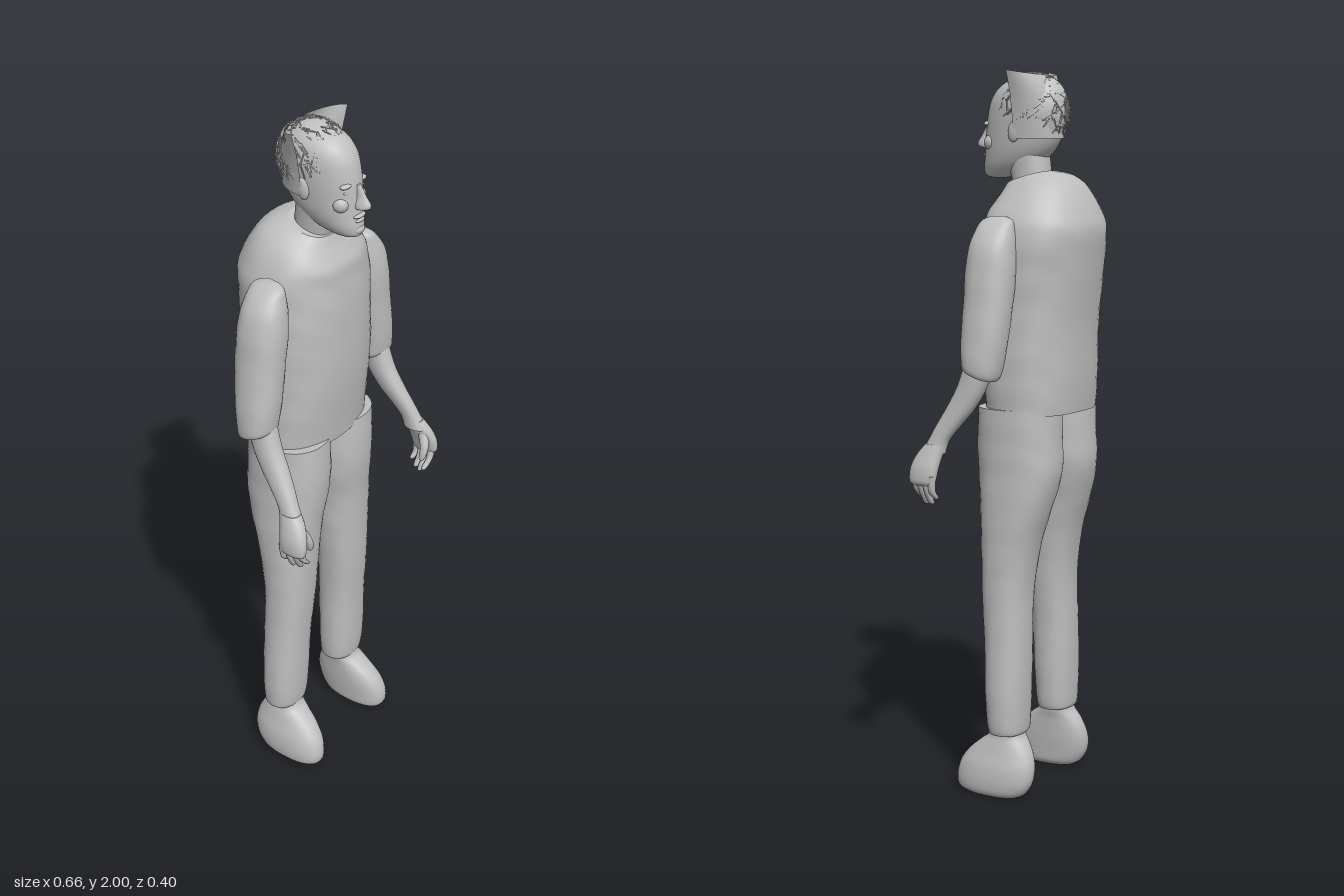
import * as THREE from 'three';
import { mergeGeometries } from 'three/addons/utils/BufferGeometryUtils.js';

const grey = new THREE.MeshStandardMaterial({ color: 0xbfbfbf });
grey.name = 'plain grey';
const greySheet = new THREE.MeshStandardMaterial({ color: 0xbfbfbf, side: THREE.DoubleSide });
greySheet.name = 'plain grey sheet';

let seed = 7;
const rand = () => (seed = (seed * 16807) % 2147483647) / 2147483647;

// Smooth skin through horizontal rings [y, centreX, centreZ, radiusX, radiusZ], bottom to top
function loft(rings, { sides = 28, steps = 5, power = 2.3, tilt = () => 0, wrinkle = 0 } = {}) {
  const cr = (a, b, c, d, t) =>
    0.5 * (2 * b + (c - a) * t + (2 * a - 5 * b + 4 * c - d) * t * t + (3 * b - a - 3 * c + d) * t * t * t);
  const n = rings.length, all = [];
  for (let i = 0; i < n - 1; i++) {
    const q = [rings[Math.max(i - 1, 0)], rings[i], rings[i + 1], rings[Math.min(i + 2, n - 1)]];
    for (let k = 0; k < steps; k++) all.push(q[1].map((_, j) => cr(q[0][j], q[1][j], q[2][j], q[3][j], k / steps)));
  }
  all.push(rings[n - 1]);
  const pos = [], idx = [];
  const pw = v => Math.sign(v) * Math.abs(v) ** (2 / power);
  const addRing = ([y, cx, cz, rx, rz]) => {
    for (let j = 0; j < sides; j++) {
      const a = j / sides * Math.PI * 2;
      const w = 1 + wrinkle * Math.sin(y * 46 + 3 * Math.sin(a * 2)) * Math.sin(a * 5 + y * 21);
      const z = cz + rz * w * pw(Math.cos(a));
      pos.push(cx + rx * w * pw(Math.sin(a)), y + tilt(y, z), z);
    }
  };
  all.forEach(addRing);
  for (let i = 0; i < all.length - 1; i++) for (let j = 0; j < sides; j++) {
    const a = i * sides + j, b = i * sides + (j + 1) % sides;
    idx.push(a, b, b + sides, a, b + sides, a + sides);
  }
  // End caps on their own vertices, so the rims stay sharp
  for (const [ring, up] of [[all[0], false], [all[all.length - 1], true]]) {
    const s = pos.length / 3;
    addRing(ring);
    pos.push(ring[1], ring[0] + tilt(ring[0], ring[2]), ring[2]);
    for (let j = 0; j < sides; j++) {
      const a = s + j, b = s + (j + 1) % sides;
      if (up) idx.push(a, b, s + sides); else idx.push(b, a, s + sides);
    }
  }
  const g = new THREE.BufferGeometry();
  g.setAttribute('position', new THREE.Float32BufferAttribute(pos, 3));
  g.setIndex(idx);
  g.computeVertexNormals();
  return g;
}

export function createModel() {
  const model = new THREE.Group();
  model.name = 'standingMan';
  const add = (name, geo, parent = model, mat = grey) => {
    const m = new THREE.Mesh(geo, mat);
    m.name = name;
    parent.add(m);
    return m;
  };
  const ball = (name, x, y, z, rx, ry, rz, parent) => {
    const m = add(name, new THREE.SphereGeometry(1, 16, 12), parent);
    m.position.set(x, y, z);
    m.scale.set(rx, ry, rz);
    return m;
  };

  // Shirt body, its neckline dipping to the front
  add('shirt', loft([
    [1.085, 0.01, -0.037, 0.186, 0.125], [1.2, 0.01, -0.035, 0.188, 0.135], [1.35, 0.01, -0.033, 0.186, 0.143],
    [1.48, 0.01, -0.042, 0.186, 0.15], [1.57, 0.01, -0.049, 0.183, 0.151], [1.62, 0.006, -0.043, 0.168, 0.142],
    [1.665, 0.002, -0.032, 0.136, 0.115], [1.695, 0, -0.018, 0.104, 0.087], [1.715, 0, -0.002, 0.076, 0.062],
  ], { sides: 48, power: 2.4, wrinkle: 0.012, tilt: (y, z) => -0.3 * z * THREE.MathUtils.smoothstep(y, 1.6, 1.71) }));

  // Neck
  add('neck', loft([[1.6, -0.004, -0.005, 0.054, 0.054], [1.68, -0.006, 0, 0.05, 0.052],
    [1.73, -0.008, 0.008, 0.05, 0.056], [1.79, -0.01, 0.02, 0.054, 0.06]]));

  for (const s of [-1, 1]) {
    const side = s > 0 ? 'left' : 'right';
    const limb = (name, rings, opts, drift = () => 0) =>
      add(side + name, loft(rings.map(([y, x, ...r]) => [y, x * s + drift(y), ...r]), opts));
    const legDrift = y => -0.008 + 0.012 * y;

    // Trouser leg
    limb('TrouserLeg', [
      [0.185, 0.138, -0.003, 0.058, 0.044], [0.2, 0.138, -0.003, 0.069, 0.052], [0.3, 0.137, -0.002, 0.074, 0.058],
      [0.45, 0.132, 0, 0.072, 0.062], [0.6, 0.124, 0.004, 0.077, 0.068], [0.72, 0.118, -0.004, 0.083, 0.08],
      [0.82, 0.112, -0.016, 0.088, 0.098], [0.92, 0.1, -0.023, 0.096, 0.116], [1.0, 0.097, -0.022, 0.098, 0.118],
      [1.1, 0.096, -0.022, 0.098, 0.114],
    ], { sides: 32, wrinkle: 0.012 }, legDrift);

    // Shoe
    limb('Shoe', [
      [0.004, 0.158, 0.04, 0.038, 0.085], [0.018, 0.16, 0.039, 0.05, 0.106], [0.05, 0.16, 0.032, 0.054, 0.117],
      [0.09, 0.156, 0.024, 0.054, 0.114], [0.125, 0.15, 0.015, 0.05, 0.098], [0.155, 0.145, 0.006, 0.047, 0.073],
      [0.18, 0.14, 0, 0.046, 0.05], [0.22, 0.138, 0, 0.045, 0.044],
    ], {}, legDrift);

    // Rolled sleeve, lower at the elbow
    limb('Sleeve', [
      [1.195, 0.256, 0.008, 0.032, 0.03], [1.2, 0.257, 0.008, 0.049, 0.046], [1.23, 0.255, 0.005, 0.055, 0.054],
      [1.3, 0.247, 0.001, 0.058, 0.062], [1.4, 0.233, -0.002, 0.059, 0.066], [1.48, 0.222, -0.003, 0.06, 0.067],
      [1.54, 0.213, -0.004, 0.055, 0.062], [1.58, 0.202, -0.005, 0.042, 0.054], [1.605, 0.192, -0.005, 0.026, 0.045],
      [1.617, 0.187, -0.005, 0.01, 0.02],
    ], { wrinkle: 0.015, tilt: (y, z) => z * 0.35 * (1 - THREE.MathUtils.smoothstep(y, 1.2, 1.35)) });

    // Forearm
    limb('Forearm', [
      [0.985, 0.287, 0.14, 0.025, 0.035], [1.02, 0.282, 0.125, 0.023, 0.03], [1.06, 0.274, 0.1, 0.025, 0.035],
      [1.11, 0.264, 0.066, 0.029, 0.041], [1.17, 0.257, 0.034, 0.032, 0.042], [1.25, 0.252, 0.01, 0.034, 0.04],
    ], { sides: 20 });

    // Palm, fingers and thumb
    limb('Palm', [
      [0.898, 0.312, 0.158, 0.01, 0.03], [0.91, 0.312, 0.16, 0.018, 0.04], [0.945, 0.306, 0.157, 0.023, 0.042],
      [0.98, 0.295, 0.147, 0.024, 0.038], [1.01, 0.285, 0.132, 0.023, 0.03],
    ], { sides: 20 });
    [[0.187, 0.856], [0.169, 0.842], [0.15, 0.844], [0.132, 0.86]].forEach(([z, tip], i) =>
      limb('Finger' + (i + 1), [
        [tip, 0.274 + i * 0.007, z - 0.006, 0.003, 0.003], [tip + 0.006, 0.278 + i * 0.007, z - 0.005, 0.008, 0.008],
        [0.885, 0.3 + i * 0.004, z - 0.002, 0.01, 0.009], [0.925, 0.314, z - 0.004, 0.012, 0.01],
      ], { sides: 10, steps: 3 }));
    limb('Thumb', [
      [0.894, 0.264, 0.18, 0.003, 0.003], [0.902, 0.265, 0.181, 0.009, 0.009], [0.935, 0.274, 0.182, 0.012, 0.012],
      [0.975, 0.29, 0.165, 0.015, 0.015],
    ], { sides: 10, steps: 3 });
  }

  // Head, centred on its own x
  const head = new THREE.Group();
  head.name = 'head';
  head.position.x = -0.01;
  model.add(head);
  add('skullAndJaw', loft([
    [1.715, 0, 0.105, 0.016, 0.025], [1.722, 0, 0.098, 0.033, 0.05], [1.745, 0, 0.072, 0.05, 0.08],
    [1.78, 0, 0.047, 0.062, 0.1], [1.82, 0, 0.032, 0.068, 0.112], [1.87, 0, 0.022, 0.072, 0.117],
    [1.92, 0, 0.015, 0.072, 0.112], [1.955, 0, 0.009, 0.062, 0.094], [1.98, 0, 0.003, 0.038, 0.06],
    [1.988, 0, 0, 0.008, 0.01],
  ], { sides: 36, power: 2.15 }), head);
  add('nose', loft([
    [1.794, 0, 0.14, 0.009, 0.014], [1.799, 0, 0.146, 0.016, 0.027], [1.81, 0, 0.146, 0.015, 0.033],
    [1.83, 0, 0.142, 0.009, 0.024], [1.86, 0, 0.134, 0.008, 0.013],
  ], { sides: 14, power: 2 }), head);
  ball('upperLip', 0, 1.776, 0.144, 0.023, 0.006, 0.011, head);
  ball('lowerLip', 0, 1.764, 0.143, 0.019, 0.006, 0.011, head);
  ball('chin', 0, 1.738, 0.14, 0.021, 0.015, 0.016, head);
  for (const s of [-1, 1]) {
    ball('eye', s * 0.029, 1.843, 0.123, 0.012, 0.006, 0.009, head);
    ball('brow', s * 0.03, 1.862, 0.124, 0.021, 0.007, 0.012, head).rotation.z = -s * 0.1;
    ball('cheek', s * 0.036, 1.81, 0.112, 0.022, 0.022, 0.022, head);
    ball('ear', s * 0.071, 1.84, 0.02, 0.008, 0.03, 0.019, head).rotation.x = -0.2;
  }

  // Hair cap, tipped back off the forehead
  const hair = new THREE.Group();
  hair.name = 'hair';
  hair.position.set(0, 1.89, 0.006);
  hair.rotation.x = -0.42;
  head.add(hair);
  const radii = new THREE.Vector3(0.079, 0.107, 0.106);
  const cap = new THREE.SphereGeometry(1, 36, 18, 0, Math.PI * 2, 0, 1.5);
  cap.scale(radii.x, radii.y, radii.z);
  add('hairCap', cap, hair, greySheet);

  // Loose strands lying across the cap
  const strands = [];
  for (let i = 0; i < 260; i++) {
    const t = Math.acos(1 - rand() * 1.15), a = rand() * Math.PI * 2;
    const dir = new THREE.Vector3(Math.sin(t) * Math.sin(a), Math.cos(t), Math.sin(t) * Math.cos(a));
    const normal = dir.clone().divide(radii).normalize();
    const along = new THREE.Vector3(rand() - 0.5, -0.6 * Math.sin(t), rand() - 0.5).projectOnPlane(normal).normalize();
    const across = new THREE.Vector3().crossVectors(along, normal);
    const box = new THREE.BoxGeometry(0.0028, 0.02 + rand() * 0.025, 0.0028);
    const p = dir.multiply(radii).addScaledVector(normal, 0.0015);
    box.applyMatrix4(new THREE.Matrix4().makeBasis(across, along, normal).setPosition(p));
    strands.push(box);
  }
  add('hairStrands', mergeGeometries(strands), hair);

  // Flared band of hair round the back, an open sheet
  const band = new THREE.BufferGeometry(), bp = [], bi = [], across = 24;
  const levels = [[1.82, 0.076, 0.105], [1.88, 0.083, 0.108], [1.94, 0.094, 0.098], [2.0, 0.115, 0.066]];
  levels.forEach(([y, rx, rz], i) => {
    for (let j = 0; j <= across; j++) {
      const a = j / across * Math.PI;
      bp.push(rx * Math.cos(a), y - (i === 3 ? 0.012 * Math.sin(a) : 0), 0.02 - rz * Math.sin(a));
      if (i < 3 && j < across) {
        const k = i * (across + 1) + j, u = k + across + 1;
        bi.push(k, u, k + 1, k + 1, u, u + 1);
      }
    }
  });
  band.setAttribute('position', new THREE.Float32BufferAttribute(bp, 3));
  band.setIndex(bi);
  band.computeVertexNormals();
  add('hairBand', band, head, greySheet);

  return model;
}
